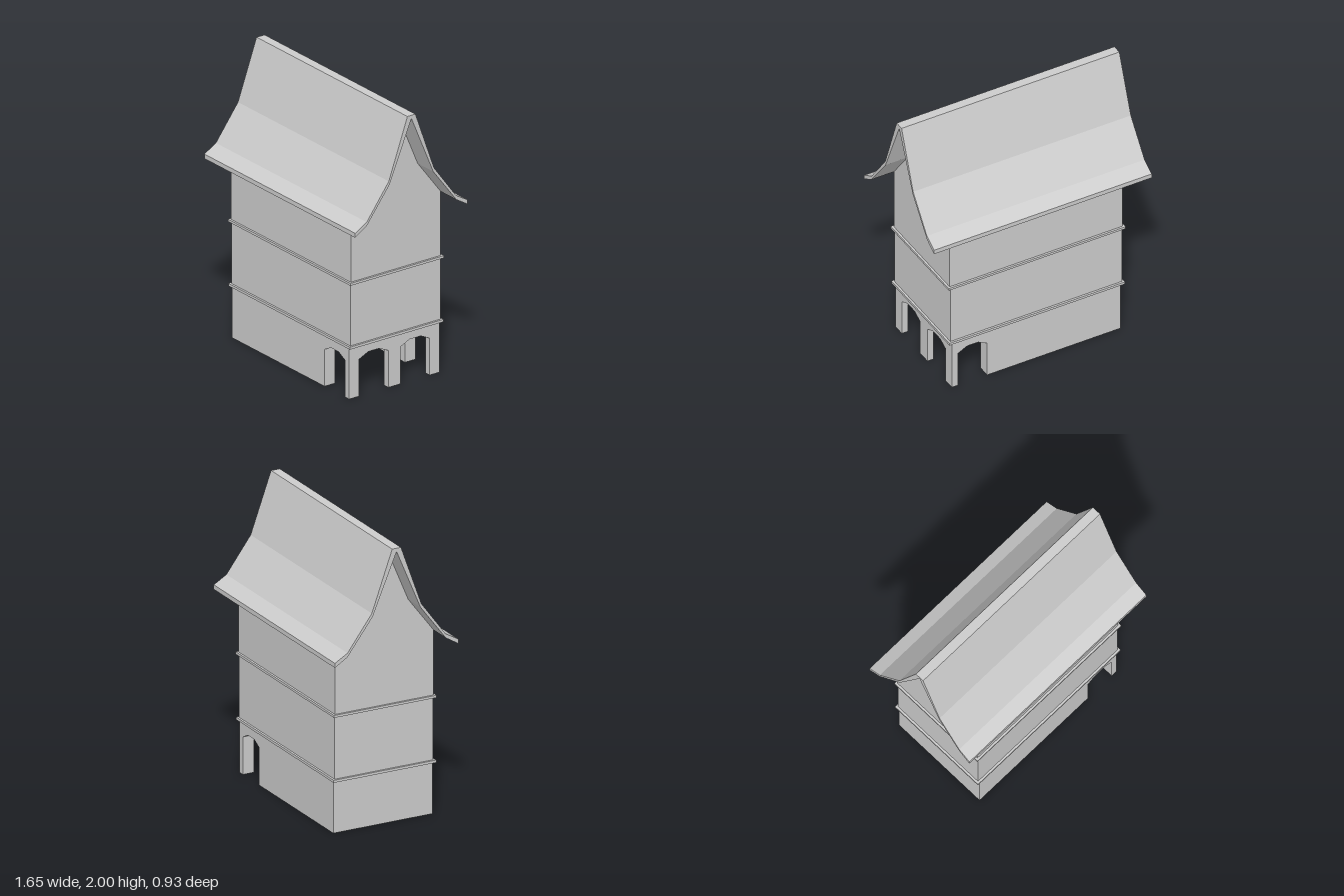
import * as THREE from 'three';

const material = new THREE.MeshStandardMaterial({ color: 0xcccccc, flatShading: true });

function add(group, name, geometry) {
  const mesh = new THREE.Mesh(geometry, material);
  mesh.name = name;
  group.add(mesh);
}

// Box given by its limits on each axis
function block(x0, x1, y0, y1, z0, z1) {
  return new THREE.BoxGeometry(x1 - x0, y1 - y0, z1 - z0)
    .translate((x0 + x1) / 2, (y0 + y1) / 2, (z0 + z1) / 2);
}

function extrude(points, depth) {
  const shape = new THREE.Shape(points.map(([a, b]) => new THREE.Vector2(a, b)));
  return new THREE.ExtrudeGeometry(shape, { depth, bevelEnabled: false });
}

// Cross-section in z and y, swept along x
function sweepX(points, x0, x1) {
  return extrude(points, x1 - x0).rotateY(Math.PI / 2).translate(x0, 0, 0);
}

// Mirrors a half profile that runs from the outside to the middle
const mirrored = (half) => half.concat(
  half.filter(([a]) => a !== 0).reverse().map(([a, b]) => [-a, b]));

// Opening outline between a and b with cut corners at the top
const arch = (a, b) => {
  const step = (b - a) * 0.31;
  return [[a, 0], [a, 0.265], [a + step, 0.3], [b - step, 0.3], [b, 0.265], [b, 0]];
};

export function createModel() {
  const model = new THREE.Group();
  const wallTop = 0.37;

  // Ground floor: hollow, with an arcade at the left end
  const sideWall = [[-0.64, 0], ...arch(0.37, 0.59).slice(0, 5), [0.59, wallTop], [-0.64, wallTop]];
  add(model, 'groundFrontWall', extrude(sideWall, 0.085).translate(0, 0, 0.288));
  add(model, 'groundBackWall', extrude(sideWall, 0.085).translate(0, 0, -0.373));
  add(model, 'groundEndWall', block(-0.64, -0.555, 0, wallTop, -0.288, 0.288));

  const arcade = [[-0.373, 0], ...arch(-0.29, -0.05), ...arch(0.05, 0.29),
    [0.373, 0], [0.373, wallTop], [-0.373, wallTop]];
  add(model, 'arcadeEndWall', sweepX(arcade, 0.59, 0.637));

  // Bands between the storeys; the lower one also closes the ground floor ceiling
  add(model, 'lowerBand', block(-0.667, 0.662, 0.366, 0.384, -0.385, 0.385));
  add(model, 'upperBand', block(-0.672, 0.667, 0.825, 0.842, -0.385, 0.385));

  // Middle storey
  add(model, 'middleStorey', block(-0.652, 0.647, 0.38, 0.83, -0.37, 0.37));

  // Top storey with curved gables
  const gable = mirrored([[0.37, 0.835], [0.37, 1.305], [0.182, 1.555], [0, 1.98]]);
  add(model, 'topStorey', sweepX(gable, -0.657, 0.652));

  // Flared roof shell with a flat ridge
  const outer = mirrored([[0.463, 1.275], [0.368, 1.33], [0.186, 1.575], [0.033, 2]]);
  const inner = mirrored([[0.463, 1.243], [0.37, 1.3], [0.18, 1.55], [0, 1.977]]);
  add(model, 'roof', sweepX([...outer, ...inner.reverse()], -0.825, 0.823));

  return model;
}
